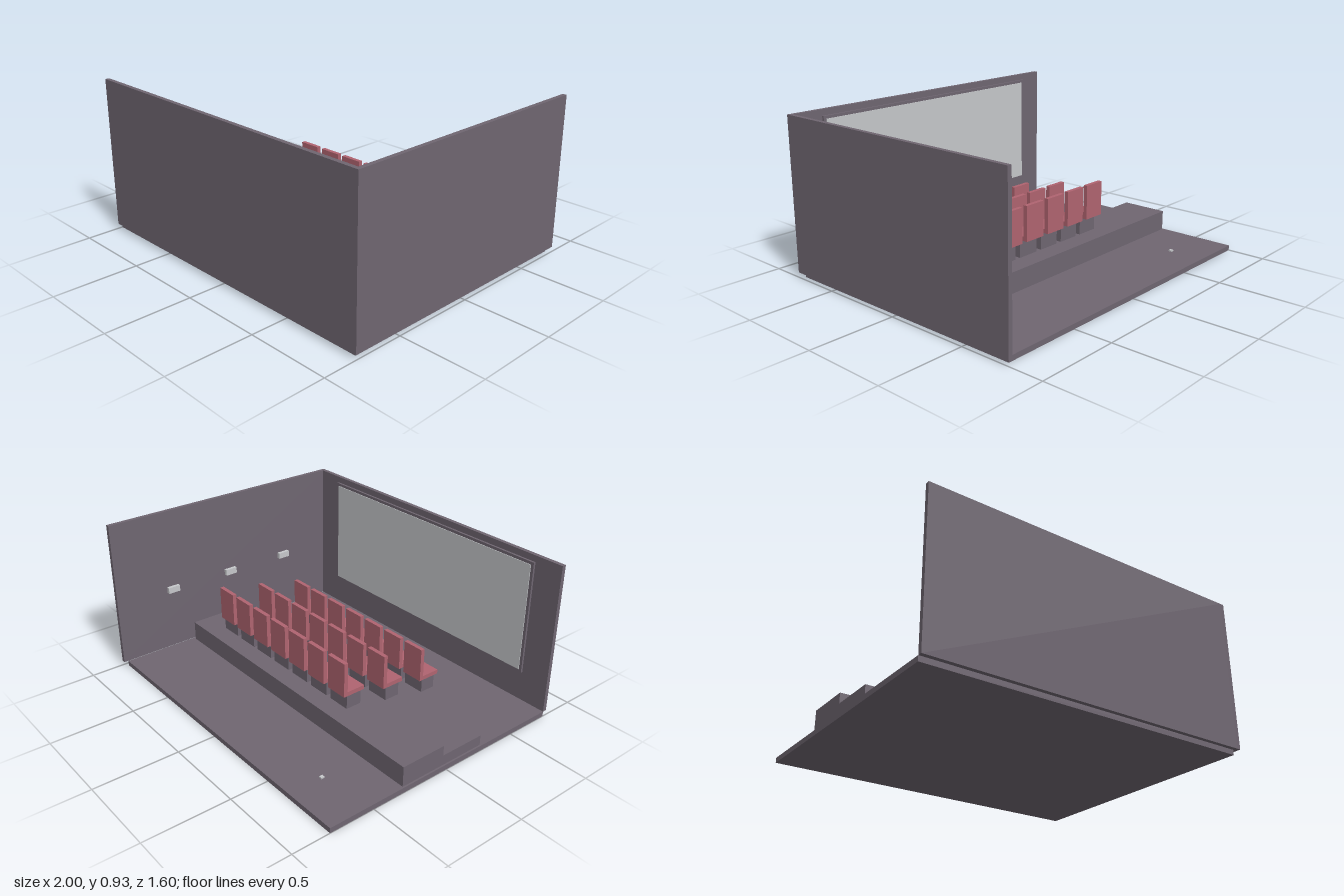
import * as THREE from 'three';

const material = (name, color) => Object.assign(new THREE.MeshStandardMaterial({ color }), { name });

export function createModel() {
  const room = new THREE.Group();
  room.name = 'screeningRoom';

  const grey = material('plum grey', 0x6f6671);
  const red = material('seat red', 0xb06470);
  const white = material('screen grey', 0xc6c8cb);

  // Box given by its extents along x, y and z
  const box = (parent, name, mat, [x0, x1], [y0, y1], [z0, z1]) => {
    const mesh = new THREE.Mesh(new THREE.BoxGeometry(x1 - x0, y1 - y0, z1 - z0), mat);
    mesh.position.set((x0 + x1) / 2, (y0 + y1) / 2, (z0 + z1) / 2);
    mesh.name = name;
    parent.add(mesh);
    return mesh;
  };

  // Floor and the two walls
  box(room, 'floor', grey, [-1, 0.972], [0, 0.03], [-0.775, 0.775]);
  box(room, 'frontWall', grey, [-1, 0.975], [0.03, 0.93], [0.775, 0.8]);
  box(room, 'sideWall', grey, [0.975, 1], [0.03, 0.93], [-0.8, 0.8]);

  // Seating tiers
  box(room, 'upperTier', grey, [-0.99, 0.953], [0.03, 0.15], [-0.3, -0.018]);
  box(room, 'lowerTier', grey, [-0.99, 0.953], [0.03, 0.09], [-0.018, 0.262]);

  // Projection screen on its backing frame
  box(room, 'screenFrame', grey, [-0.832, 0.8], [0.214, 0.896], [0.755, 0.768]);
  box(room, 'screen', white, [-0.815, 0.783], [0.231, 0.879], [0.751, 0.755]);

  // Three rows of seven seats, each row standing on its own level
  const rows = [[0.15, -0.22], [0.09, 0.065], [0.03, 0.35]];
  rows.forEach(([y, z], row) => {
    const seatRow = new THREE.Group();
    seatRow.name = `seatRow${row + 1}`;
    for (let i = 0; i < 7; i++) {
      const seat = new THREE.Group();
      seat.name = 'seat';
      seat.position.set(-0.438 + i * 0.1745, y, z);
      box(seat, 'seatBase', grey, [0.018, 0.156], [0, 0.095], [0.035, 0.132]);
      box(seat, 'seatCushion', red, [0, 0.138], [0.095, 0.12], [0, 0.142]);
      box(seat, 'seatBack', red, [0, 0.138], [0.12, 0.3], [0, 0.025]);
      seatRow.add(seat);
    }
    room.add(seatRow);
  });

  // Wall lamps
  for (const z of [-0.422, 0, 0.422]) {
    box(room, 'wallLamp', white, [0.953, 0.975], [0.402, 0.44], [z - 0.039, z + 0.039]);
  }

  // Aisle floor lights
  for (const z of [-0.567, 0.278]) {
    box(room, 'aisleLight', white, [-0.69, -0.67], [0.03, 0.038], [z - 0.01, z + 0.01]);
  }

  return room;
}
